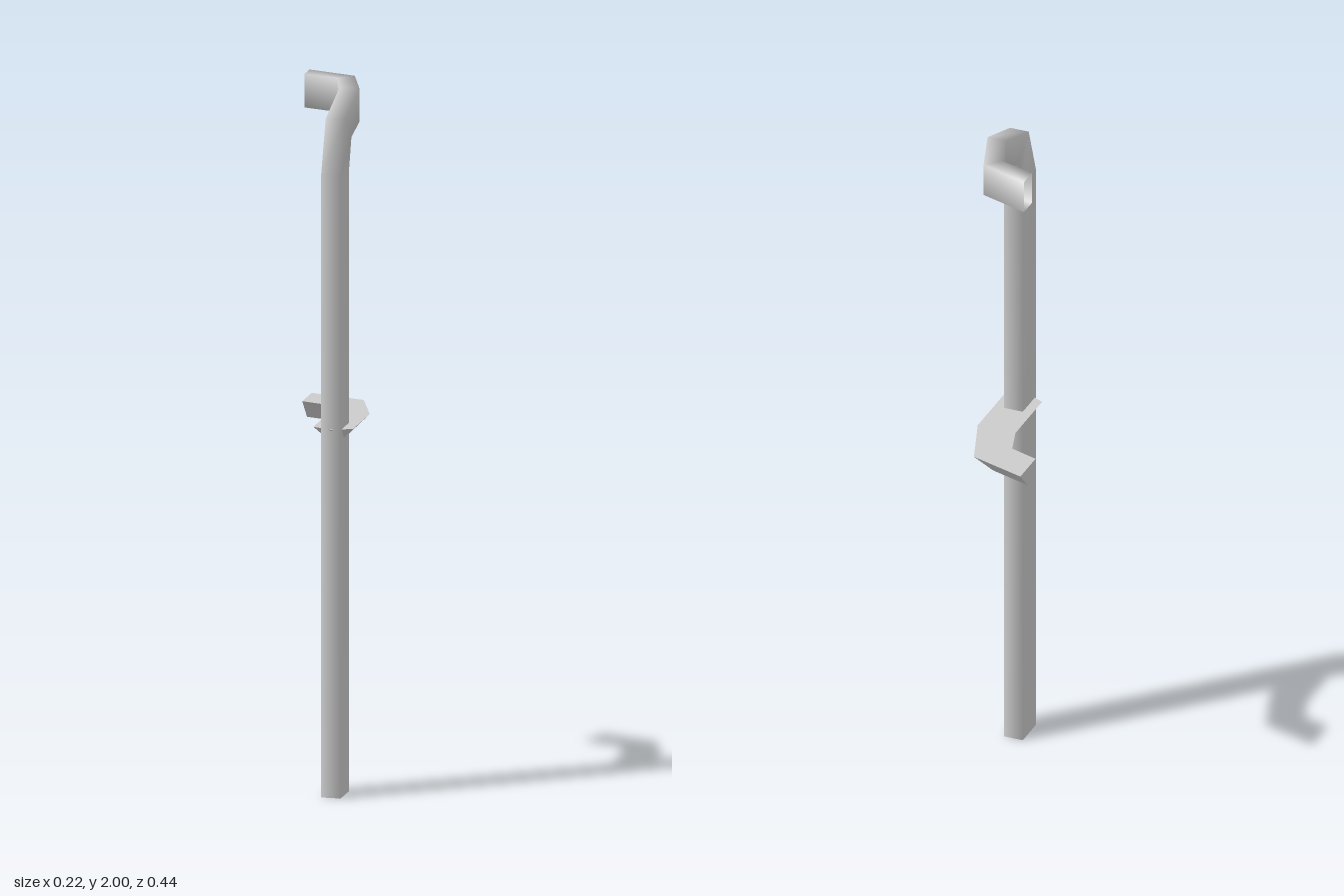
import * as THREE from 'three';

// Skin a list of rings (each a list of [x, y, z]); optionally close the last ring.
function loft(rings, capEnd = false) {
  const n = rings[0].length, index = [];
  for (let i = 0; i < rings.length - 1; i++) {
    for (let j = 0; j < n; j++) {
      const a = i * n + j, b = i * n + (j + 1) % n;
      index.push(a, b, b + n, a, b + n, a + n);
    }
  }
  if (capEnd) {
    const s = (rings.length - 1) * n;
    for (let j = 1; j < n - 1; j++) index.push(s, s + j, s + j + 1);
  }
  const geometry = new THREE.BufferGeometry();
  geometry.setAttribute('position', new THREE.Float32BufferAttribute(rings.flat(2), 3));
  geometry.setIndex(index);
  geometry.computeVertexNormals();
  return geometry;
}

export function createModel() {
  const group = new THREE.Group();

  // Rectangular pipe: upright pole bending back, then sideways at the top
  const L = 0.025, R = 0.082;
  const upright = (yo, zo, yi, zi) => [[L, yo, zo], [R, yo, zo], [R, yi, zi], [L, yi, zi]];
  const level = (xl, zl, xr, zr) => [[xl, 2, zl], [xr, 2, zr], [xr, 1.903, zr], [xl, 1.903, zl]];
  const pipe = new THREE.Mesh(
    loft([
      upright(0, 0.217, 0, 0.12),
      upright(1.79, 0.217, 1.79, 0.12),
      upright(1.945, 0.163, 1.88, 0.092),
      level(L, 0, R, 0),
      level(-0.01, -0.108, 0.031, -0.15),
      level(-0.112, -0.14, -0.112, -0.197),
    ]),
    new THREE.MeshStandardMaterial({ color: 0xcccccc, side: THREE.DoubleSide })
  );
  pipe.name = 'bentPipe';
  group.add(pipe);

  // Wedge-section rail around the pole, following the same curve halfway up
  const top = 1.062, low = 1.005;
  const wedge = (xl, zl, xr, zr, xa, za) => [[xl, top, zl], [xr, top, zr], [xa, low, za]];
  const tip = [0.054, top, 0.221];
  const rail = new THREE.Mesh(
    loft([
      [tip, tip, tip],
      wedge(-0.003, 0.193, 0.112, 0.193, 0.054, 0.168),
      wedge(-0.003, 0, 0.112, 0, 0.054, 0),
      wedge(-0.029, -0.085, 0.052, -0.17, 0.011, -0.128),
      wedge(-0.112, -0.113, -0.112, -0.223, -0.112, -0.168),
    ], true),
    new THREE.MeshStandardMaterial({ color: 0xcccccc, flatShading: true, side: THREE.DoubleSide })
  );
  rail.name = 'wedgeRail';
  group.add(rail);

  return group;
}
